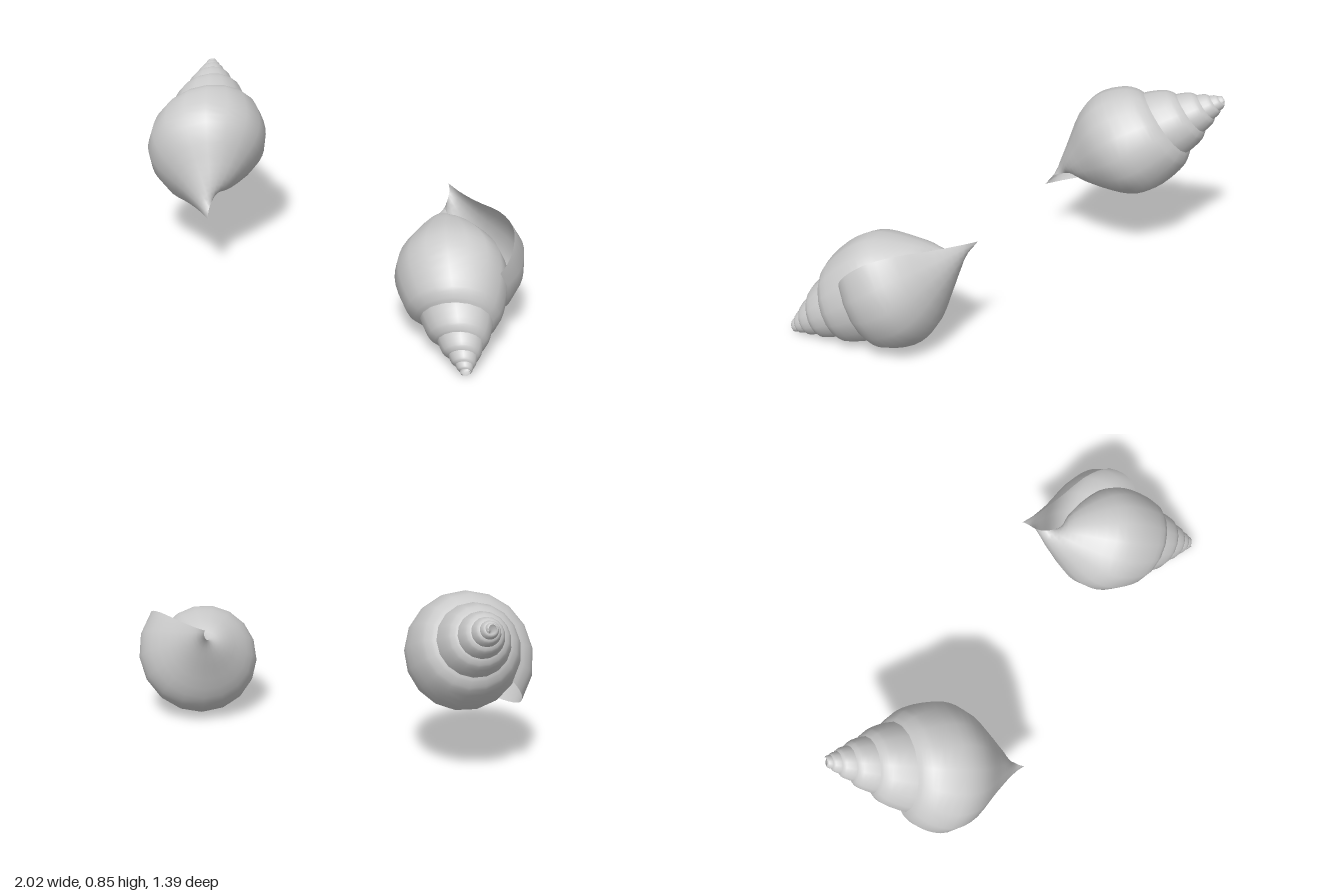
import * as THREE from 'three';

const TURNS = 5.6, STEPS = 17, RINGS = Math.round(TURNS * STEPS), SEGS = 22;
const LIP_ANGLE = THREE.MathUtils.degToRad(41);

// Profile at the lip, from suture to siphon tip:
// [distance along axis, radius, axial shrink per turn, radial shrink per turn]
const PROFILE = [
  [0.41, 0.225, 0.60, 0.64],
  [0.44, 0.268, 0.59, 0.61],
  [0.50, 0.312, 0.60, 0.63],
  [0.61, 0.332, 0.76, 0.73],
  [0.72, 0.285, 0.80, 0.82],
  [0.86, 0.152, 0.82, 1.02],
  [0.95, 0.075, 0.82, 1.05],
  [1.03, 0.018, 0.78, 0.50],
];

// Shell axis from apex to siphon, with two directions across it
const APEX = new THREE.Vector3(0.88, 0.027, 0.69);
const AXIS = new THREE.Vector3(-0.325, 0.5, -0.806).normalize();
const UP = new THREE.Vector3(0, 1, 0).addScaledVector(AXIS, -AXIS.y).normalize();
const SIDE = new THREE.Vector3().crossVectors(AXIS, UP);

// Cross-section n turns before the lip; the spire shrinks evenly after one turn
function section(n) {
  const body = Math.min(n, 1), spire = n - body;
  const points = PROFILE.map(([s, r, ks, kr]) => new THREE.Vector3(
    s * ks ** body * 0.59 ** spire - 0.005 * spire,
    r * kr ** body * 0.62 ** spire, 0));
  return new THREE.CatmullRomCurve3(points).getPoints(SEGS);
}

// Coiled sheet; sign -1 gives the shell coiled the other way
function shellGeometry(sign) {
  const positions = [], index = [], row = SEGS + 1;
  for (let i = 0; i <= RINGS; i++) {
    const n = TURNS * (1 - i / RINGS);
    const angle = LIP_ANGLE - n * Math.PI * 2;
    for (const { x: s, y: r } of section(n)) {
      const p = APEX.clone()
        .addScaledVector(AXIS, s)
        .addScaledVector(SIDE, r * Math.cos(angle))
        .addScaledVector(UP, r * Math.sin(angle));
      p.y -= 0.43;
      p.multiplyScalar(sign);
      positions.push(p.x, p.y + 0.43, p.z);
    }
  }
  for (let i = 0; i < RINGS; i++) {
    for (let j = 0; j < SEGS; j++) {
      const a = i * row + j, b = a + 1, c = a + row, d = c + 1;
      if (sign > 0) index.push(a, b, c, b, d, c);
      else index.push(a, c, b, b, c, d);
    }
  }
  const geometry = new THREE.BufferGeometry();
  geometry.setAttribute('position', new THREE.Float32BufferAttribute(positions, 3));
  geometry.setIndex(index);
  geometry.computeVertexNormals();
  return geometry;
}

export function createModel() {
  const group = new THREE.Group();
  group.name = 'seaShells';
  const material = new THREE.MeshStandardMaterial({ color: 0xcccccc, side: THREE.DoubleSide });
  for (const [name, sign] of [['leftShell', 1], ['rightShell', -1]]) {
    const shell = new THREE.Mesh(shellGeometry(sign), material);
    shell.name = name;
    group.add(shell);
  }
  return group;
}
